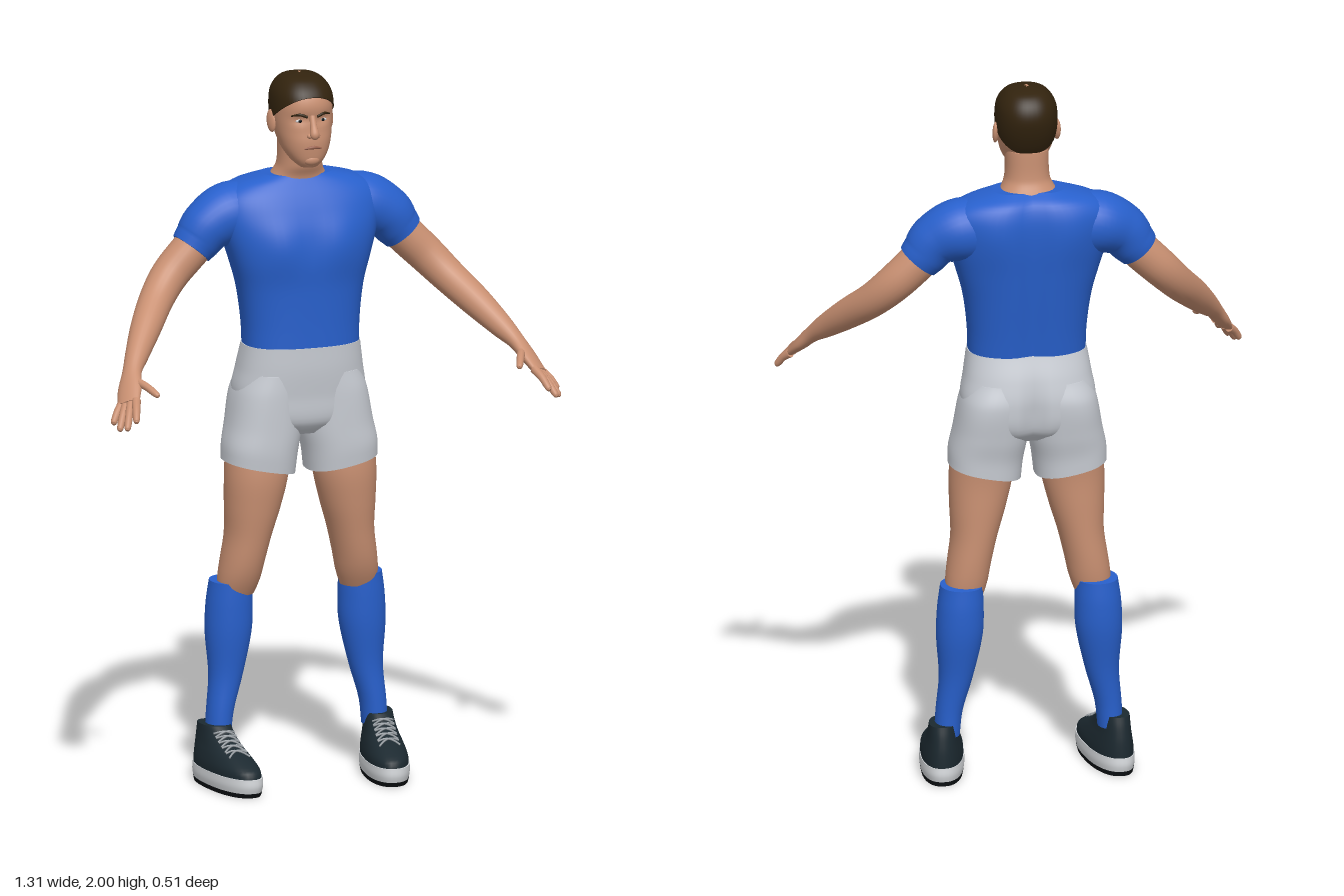
import * as THREE from 'three';

const V = (x, y, z) => new THREE.Vector3(x, y, z);
const mat = (name, color) => Object.assign(new THREE.MeshStandardMaterial({ color }), { name });
const bump = (d, w) => Math.exp(-((d / w) ** 2));

// Closed surface over rings of points, with separate end caps
function skin(rings) {
  const n = rings[0].length, pos = [], idx = [];
  const add = (ring) => { const o = pos.length / 3; ring.forEach((p) => pos.push(p.x, p.y, p.z)); return o; };
  rings.forEach(add);
  for (let i = 0; i < rings.length - 1; i++) for (let j = 0; j < n; j++) {
    const a = i * n + j, b = i * n + (j + 1) % n;
    idx.push(a, b, b + n, a, b + n, a + n);
  }
  [rings[0], rings[rings.length - 1]].forEach((ring, top) => {
    const mid = ring.reduce((s, p) => s.add(p), V(0, 0, 0)).divideScalar(n);
    const o = add(ring), c = add([mid]);
    for (let j = 0; j < n; j++) {
      const k = o + (j + 1) % n;
      if (top) idx.push(c, o + j, k); else idx.push(c, k, o + j);
    }
  });
  const g = new THREE.BufferGeometry();
  g.setAttribute('position', new THREE.Float32BufferAttribute(pos, 3));
  g.setIndex(idx);
  g.computeVertexNormals();
  return g;
}

// Sections are [y, centreX, halfWidth, zBack, zFront], smoothly interpolated by height
function section(S, y) {
  let i = 0;
  while (i < S.length - 2 && y > S[i + 1][0]) i++;
  const h = S[i + 1][0] - S[i][0], t = Math.min(1, Math.max(0, (y - S[i][0]) / h));
  const slope = (k, c) => {
    const a = S[Math.max(0, k - 1)], b = S[Math.min(S.length - 1, k + 1)];
    return (b[c] - a[c]) / (b[0] - a[0]) * h;
  };
  return [1, 2, 3, 4].map((c) => {
    const p = S[i][c], q = S[i + 1][c], m = slope(i, c), k = slope(i + 1, c);
    return p + m * t + (3 * (q - p) - 2 * m - k) * t * t + (2 * (p - q) + m + k) * t ** 3;
  });
}
const pw = (v, e) => Math.sign(v) * Math.abs(v) ** e;
function pointAt(S, y, a, p = 2.3, grow = 0) {
  const [cx, rx, z0, z1] = section(S, y);
  return V(cx + (rx + grow) * pw(Math.sin(a), 2 / p), y, (z0 + z1) / 2 + ((z1 - z0) / 2 + grow) * pw(Math.cos(a), 2 / p));
}
function frontZ(S, x, y, p = 2.3) {
  const [cx, rx, z0, z1] = section(S, y);
  return (z0 + z1) / 2 + (z1 - z0) / 2 * Math.max(0, 1 - Math.abs((x - cx) / rx) ** p) ** (1 / p);
}
function loft(S, { p = 2.3, rows = 28, cols = 40, sculpt, from, grow = 0 } = {}) {
  const top = S[S.length - 1][0], rings = [];
  for (let i = 0; i <= rows; i++) {
    const t = 1 - (1 - i / rows) ** 1.5, ring = [];
    for (let j = 0; j < cols; j++) {
      const a = j / cols * Math.PI * 2, low = from ? from(a) : S[0][0];
      const v = pointAt(S, low + (top - low) * t, a, p, grow);
      if (sculpt) sculpt(v);
      ring.push(v);
    }
    rings.push(ring);
  }
  return skin(rings);
}

// Tapered limb through [x, y, z, radius, radius2]; s mirrors it
function limb(P, s = 1, rows = 24, cols = 18) {
  const path = new THREE.CatmullRomCurve3(P.map((p) => V(p[0] * s, p[1], p[2])), false, 'catmullrom');
  const size = new THREE.CatmullRomCurve3(P.map((p) => V(p[3], p[4] ?? p[3], 0)), false, 'catmullrom');
  const ref = V(-0.56 * s, -0.66, -0.29), rings = [];
  for (let i = 0; i <= rows; i++) {
    const c = path.getPoint(i / rows), r = size.getPoint(i / rows), T = path.getTangent(i / rows);
    const N = ref.clone().cross(T).normalize(), B = T.clone().cross(N);
    rings.push(Array.from({ length: cols }, (_, j) => {
      const a = j / cols * Math.PI * 2;
      return c.clone().addScaledVector(N, r.x * Math.cos(a)).addScaledVector(B, r.y * Math.sin(a));
    }));
  }
  return skin(rings);
}

const HEAD = [[1.745, 0, 0.024, -0.07, -0.018], [1.76, 0, 0.042, -0.1, -0.006], [1.79, 0, 0.062, -0.14, 0],
  [1.82, 0, 0.072, -0.17, 0.002], [1.85, 0, 0.078, -0.187, -0.002], [1.885, 0, 0.082, -0.2, -0.004],
  [1.92, 0, 0.082, -0.206, -0.002], [1.95, 0, 0.077, -0.2, -0.012], [1.975, 0, 0.062, -0.183, -0.034],
  [1.99, 0, 0.041, -0.158, -0.062], [1.997, 0, 0.006, -0.118, -0.1]];
const NECK = [[1.68, 0, 0.1, -0.21, -0.075], [1.71, 0, 0.075, -0.195, -0.07], [1.74, 0, 0.062, -0.182, -0.057], [1.82, 0, 0.06, -0.178, -0.05]];
const TORSO = [[1.225, 0, 0.163, -0.218, 0], [1.3, 0, 0.165, -0.226, 0], [1.4, 0, 0.178, -0.238, 0.002],
  [1.48, 0, 0.2, -0.247, 0.005], [1.56, 0, 0.224, -0.255, -0.006], [1.62, 0, 0.235, -0.256, -0.026],
  [1.66, 0, 0.222, -0.25, -0.045], [1.69, 0, 0.175, -0.235, -0.064], [1.71, 0, 0.1, -0.205, -0.078]];
const PELVIS = [[0.985, 0, 0.06, -0.2, -0.05], [1.02, 0, 0.165, -0.24, -0.018], [1.1, 0, 0.187, -0.253, -0.008],
  [1.17, 0, 0.177, -0.243, 0], [1.238, 0, 0.166, -0.222, 0.003]];
const SHORT_LEG = [[0.89, 0.12, 0.1, -0.222, -0.02], [0.94, 0.116, 0.102, -0.226, -0.014], [1, 0.105, 0.102, -0.238, -0.012],
  [1.1, 0.095, 0.094, -0.25, -0.01], [1.16, 0.08, 0.085, -0.235, -0.012]];
const THIGH = [[0.53, 0.178, 0.05, -0.19, -0.09], [0.57, 0.172, 0.058, -0.197, -0.07], [0.62, 0.164, 0.06, -0.2, -0.055],
  [0.7, 0.149, 0.064, -0.2, -0.042], [0.78, 0.138, 0.077, -0.2, -0.03], [0.87, 0.128, 0.088, -0.2, -0.022], [0.98, 0.12, 0.088, -0.21, -0.03]];
const SOCK = [[0.13, 0.228, 0.035, -0.19, -0.1], [0.2, 0.222, 0.037, -0.19, -0.1], [0.3, 0.204, 0.047, -0.2, -0.1],
  [0.42, 0.195, 0.064, -0.22, -0.088], [0.5, 0.192, 0.064, -0.223, -0.085], [0.565, 0.189, 0.058, -0.218, -0.085]];
const SHOE = [[0.045, 0.228, 0.06, -0.218, 0.095], [0.07, 0.228, 0.059, -0.217, 0.085], [0.095, 0.228, 0.053, -0.215, 0.035],
  [0.115, 0.228, 0.047, -0.212, -0.015], [0.14, 0.228, 0.042, -0.207, -0.06], [0.165, 0.228, 0.039, -0.2, -0.09]];
const SOLE = [[0.012, 0.228, 0.06, -0.218, 0.095], [0.03, 0.228, 0.063, -0.222, 0.1], [0.052, 0.228, 0.062, -0.22, 0.099]];
const OUTSOLE = [[0, 0.228, 0.058, -0.216, 0.09], [0.013, 0.228, 0.061, -0.219, 0.097]];
const mirror = (S, s) => S.map(([y, x, ...rest]) => [y, x * s, ...rest]);

export function createModel() {
  const model = new THREE.Group();
  const M = {
    skin: mat('skin', 0xc99072), lip: mat('lips', 0x9c6450), hair: mat('hair', 0x32230e),
    blue: mat('blue cloth', 0x2860cc), white: mat('white cloth', 0xc9cdd4), shoe: mat('shoe upper', 0x1c2930),
    sole: mat('sole rim', 0xd4d7da), dark: mat('outsole', 0x0d1114), lace: mat('laces', 0x9aa0a5),
  };
  const add = (name, geo, m) => { const o = new THREE.Mesh(geo, m); o.name = name; model.add(o); return o; };
  const ball = (name, m, x, y, z, a, b, c) => {
    const o = add(name, new THREE.SphereGeometry(1, 20, 14), m);
    o.position.set(x, y, z);
    o.scale.set(a, b, c);
    return o;
  };

  // Head with shallow eye sockets, and a close hair cap
  add('head', loft(HEAD, { rows: 40, sculpt: (v) => {
    if (v.z > -0.06) v.z -= 0.008 * bump(Math.abs(v.x) - 0.033, 0.018) * bump(v.y - 1.882, 0.012);
  } }), M.skin);
  add('hair', loft(HEAD, { rows: 24, cols: 48, grow: 0.003, from: (a) => {
    const c = Math.cos(a);
    return 1.877 + (c > 0 ? 0.068 : 0.06) * c;
  } }), M.hair);
  add('neck', loft(NECK), M.skin);
  add('noseBridge', limb([[0, 1.893, -0.008, 0.008], [0, 1.865, 0.004, 0.01], [0, 1.843, 0.013, 0.013], [0, 1.835, 0.008, 0.006]]), M.skin);
  add('upperLip', limb([-0.025, 0, 0.025].map((x) => [x, x ? 1.802 : 1.806, frontZ(HEAD, x, 1.805), x ? 0.002 : 0.005])), M.lip);
  ball('chin', M.skin, 0, 1.768, -0.014, 0.024, 0.016, 0.014);

  // Shirt body with chest and spine shaping, and trouser seat
  add('shirtBody', loft(TORSO, { p: 2.5, rows: 36, cols: 64, sculpt: (v) => {
    if (v.z > -0.1) v.z += 0.011 * bump(Math.abs(v.x) - 0.085, 0.06) * bump(v.y - 1.53, 0.07);
    else if (v.z < -0.16) v.z += 0.016 * bump(v.x, 0.035) - 0.006 * bump(Math.abs(v.x) - 0.11, 0.05) * bump(v.y - 1.6, 0.08);
  } }), M.blue);
  const cleft = (v) => { if (v.z < -0.13) v.z += 0.022 * bump(v.x, 0.025) * bump(v.y - 1.05, 0.1); };
  add('shortsSeat', loft(PELVIS, { p: 2.4, cols: 64, sculpt: cleft }), M.white);

  for (const s of [1, -1]) {
    const side = s > 0 ? 'left' : 'right';

    // Face pairs
    const fz = (x, y) => frontZ(HEAD, x, y);
    ball(side + 'Eye', M.sole, s * 0.033, 1.879, fz(0.033, 1.879) - 0.009, 0.012, 0.0045, 0.005);
    ball(side + 'Iris', M.dark, s * 0.033, 1.879, fz(0.033, 1.879) - 0.005, 0.005, 0.0045, 0.002);
    add(side + 'Eyebrow', limb([[0.014, 1.891], [0.035, 1.898], [0.056, 1.893]].map(([x, y], i) =>
      [x, y, fz(x, y) - 0.001, i === 2 ? 0.002 : 0.004]), s), M.hair);
    ball(side + 'Nostril', M.skin, s * 0.011, 1.839, 0.003, 0.008, 0.007, 0.01);
    const ear = ball(side + 'Ear', M.skin, s * 0.085, 1.865, -0.107, 0.009, 0.032, 0.019);
    ear.rotation.set(-0.2, s * -0.3, 0);

    // Sleeve, arm and hand
    add(side + 'Sleeve', limb([[0.1, 1.6, -0.155, 0.075, 0.085], [0.19, 1.602, -0.15, 0.088, 0.088],
      [0.255, 1.575, -0.142, 0.076, 0.076], [0.29, 1.535, -0.14, 0.066, 0.066], [0.308, 1.513, -0.138, 0.06, 0.06]], s, 24, 32), M.blue);
    add(side + 'Arm', limb([[0.26, 1.56, -0.14, 0.054], [0.32, 1.5, -0.138, 0.054], [0.375, 1.445, -0.127, 0.052],
      [0.425, 1.39, -0.09, 0.048], [0.48, 1.33, -0.02, 0.043], [0.53, 1.272, 0.05, 0.033], [0.56, 1.235, 0.095, 0.028, 0.023],
      [0.58, 1.2, 0.135, 0.036, 0.019], [0.599, 1.165, 0.178, 0.034, 0.013]], s, 48, 24), M.skin);
    const fingers = [['Thumb', [0.567, 1.218, 0.118], [0.525, 1.192, 0.22]], ['IndexFinger', [0.58, 1.176, 0.188], [0.602, 1.13, 0.255]],
      ['MiddleFinger', [0.591, 1.17, 0.178], [0.626, 1.108, 0.247]], ['RingFinger', [0.603, 1.163, 0.17], [0.641, 1.103, 0.225]],
      ['LittleFinger', [0.614, 1.158, 0.159], [0.648, 1.115, 0.19]]];
    for (const [name, a, b] of fingers) {
      const at = (t, r, lift = 0) => [...a.map((c, k) => c + (b[k] - c) * t + (k === 1 ? lift : 0)), r];
      add(side + name, limb([at(0, 0.013), at(0.5, 0.011, 0.005), at(0.9, 0.009), at(1, 0.004)], s, 14, 12), M.skin);
    }

    // Shorts leg with a slanted hem, thigh and sock
    add(side + 'ShortsLeg', loft(mirror(SHORT_LEG, s), { p: 2.4, sculpt: (v) => {
      v.y += 0.2 * (s * v.x - 0.12) * Math.min(1, Math.max(0, (1.05 - v.y) / 0.16));
    } }), M.white);
    add(side + 'Thigh', loft(mirror(THIGH, s), { p: 2.1 }), M.skin);
    add(side + 'Sock', loft(mirror(SOCK, s), { p: 2.1 }), M.blue);

    // Shoe, turned slightly inward at the toe
    const toe = (v) => { v.x -= s * 0.13 * (v.z + 0.06); };
    const shoePart = (name, S, m, p, rows) => add(side + name, loft(mirror(S, s), { p, rows, sculpt: toe }), m);
    shoePart('ShoeUpper', SHOE, M.shoe, 2.3, 24);
    shoePart('SoleRim', SOLE, M.sole, 2.3, 8);
    shoePart('Outsole', OUTSOLE, M.dark, 2.3, 3);
    for (let i = 0; i < 5; i++) for (const d of [-1, 1]) {
      const pts = [-1, -0.5, 0, 0.5, 1].map((k) => {
        const x = 0.228 + k * 0.03, y = 0.112 + i * 0.01 + d * k * 0.004 - k * k * 0.01;
        const z = frontZ(SHOE, x, y) + 0.002;
        return [x - 0.13 * (z + 0.06), y + 0.002, z, 0.0028];
      });
      add(side + 'Lace', limb(pts, s, 10, 6), M.lace);
    }
  }
  return model;
}
